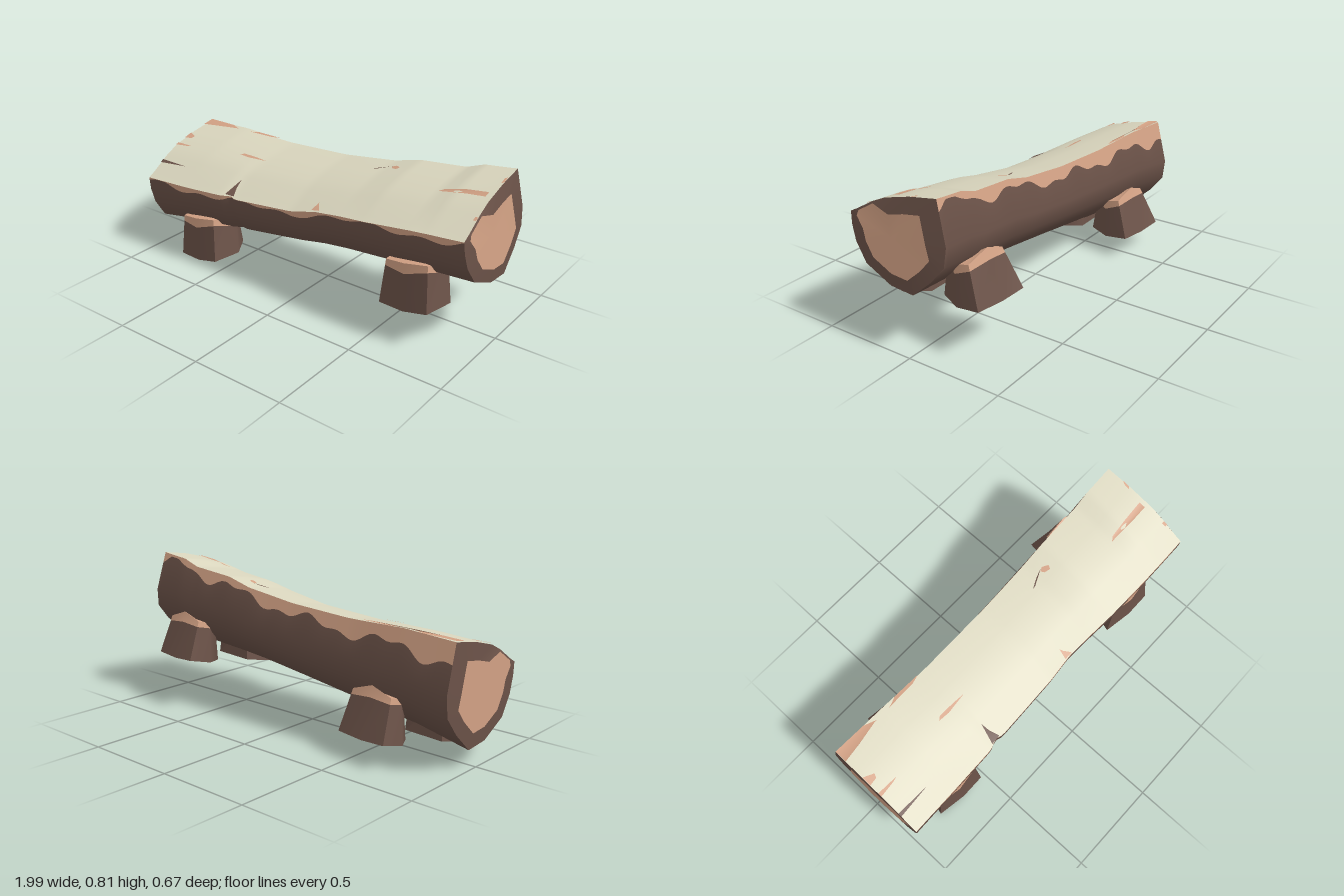
import * as THREE from 'three';
import { toCreasedNormals } from 'three/addons/utils/BufferGeometryUtils.js';

const material = (name, color) => Object.assign(new THREE.MeshStandardMaterial({ color }), { name });
const bark = material('bark', 0x6b5248);
const rawWood = material('raw wood', 0xd2a184);
const paleWood = material('pale wood', 0xdad6be);

const lerp = THREE.MathUtils.lerp;
const mix = (a, b, t) => a.map((v, i) => lerp(v, b[i], t));

function mesh(name, points, index, mat, crease = 0.9) {
  const geo = new THREE.BufferGeometry();
  geo.setAttribute('position', new THREE.Float32BufferAttribute(points.flat(), 3));
  geo.setIndex(index);
  const m = new THREE.Mesh(toCreasedNormals(geo, crease), mat);
  m.name = name;
  return m;
}

// Skin over rows of points
function skin(name, rows, mat, crease) {
  const n = rows[0].length, index = [];
  for (let i = 0; i < rows.length - 1; i++) {
    for (let j = 0; j < n - 1; j++) {
      const a = i * n + j, b = a + 1, c = a + n, d = c + 1;
      index.push(a, b, c, b, d, c);
    }
  }
  return mesh(name, rows.flat(), index, mat, crease);
}

// Filled polygon around its centre
function fan(name, loop, mat) {
  const n = loop.length;
  const centre = [0, 1, 2].map(k => loop.reduce((s, p) => s + p[k], 0) / n);
  const index = loop.flatMap((_, i) => [n, i, (i + 1) % n]);
  return mesh(name, [...loop, centre], index, mat);
}

// Log stations: x, bottom y, front edge y, back edge y, back z, front z
const stations = [
  [-0.985, 0.09, 0.43, 0.62, -0.24, 0.33],
  [-0.7, 0.15, 0.445, 0.635, -0.225, 0.328],
  [-0.45, 0.18, 0.465, 0.63, -0.212, 0.325],
  [-0.4, 0.19, 0.47, 0.63, -0.21, 0.305],
  [-0.36, 0.195, 0.465, 0.63, -0.21, 0.318],
  [0, 0.245, 0.50, 0.65, -0.207, 0.31],
  [0.15, 0.265, 0.535, 0.67, -0.207, 0.3],
  [0.3, 0.285, 0.56, 0.69, -0.21, 0.31],
  [0.45, 0.30, 0.58, 0.73, -0.21, 0.322],
  [0.7, 0.32, 0.615, 0.755, -0.215, 0.33],
  [0.8, 0.325, 0.625, 0.79, -0.218, 0.33],
  [0.995, 0.335, 0.64, 0.81, -0.222, 0.328],
];
function stationAt(x) {
  let i = 0;
  while (i < stations.length - 2 && x > stations[i + 1][0]) i++;
  const [a, b] = [stations[i], stations[i + 1]];
  return mix(a, b, (x - a[0]) / (b[0] - a[0]));
}

// The upper right end leans inwards
const lean = (x, v) => x - 0.04 * v * Math.max(0, x) ** 8;

// Bark outline from front edge, under the log, to back edge
function barkSection(x) {
  const [, bottom, front, back, zb, zf] = stationAt(x);
  const f = (z, k) => [lean(x, k * 0.6), lerp(bottom, front, k), z * zf / 0.33];
  const b = (z, k) => [lean(x, k), lerp(bottom, back, k), z * zb / -0.22];
  return [f(0.33, 1), f(0.325, 0.8), f(0.302, 0.55), f(0.24, 0.25), f(0.09, 0.03), b(-0.04, 0),
    b(-0.14, 0.19), b(-0.21, 0.37), b(-0.22, 0.57), b(-0.165, 1)];
}

// Crowned seat: depth from front to back against rise
const crown = [[0, 0], [0.08, 0.12], [0.27, 0.45], [0.42, 0.65], [0.7, 0.86], [1, 1]];
function seatPoint(x, t, lift = 0) {
  const s = barkSection(x), F = s[0], B = s[s.length - 1];
  let i = 0;
  while (i < crown.length - 2 && t > crown[i + 1][0]) i++;
  const [a, b] = [crown[i], crown[i + 1]];
  const rise = lerp(a[1], b[1], (t - a[0]) / (b[0] - a[0]));
  return [lerp(F[0], B[0], t), lerp(F[1], B[1], rise) + lift, lerp(F[2], B[2], t)];
}
const seatSection = x => crown.map(c => seatPoint(x, c[0])).reverse();

// Ragged widths of the peeled edges
const frontPeel = x => 0.3 + 0.22 * Math.sin(x * 9 + 1) + 0.18 * Math.sin(x * 23);
const backPeel = x => Math.max(0.06, 0.3 - 0.14 * x + 0.11 * Math.sin(x * 13) + 0.07 * Math.sin(x * 31 + 2));

function makeLog() {
  const log = new THREE.Group();
  log.name = 'log';
  const xs = Array.from({ length: 81 }, (_, i) => lerp(-0.985, 0.995, i / 80));
  const barkRows = [], frontRows = [], backRows = [];
  for (const x of xs) {
    const s = barkSection(x), n = s.length;
    const f = mix(s[0], s[1], Math.max(0.04, frontPeel(x))), b = mix(s[n - 1], s[n - 2], backPeel(x));
    barkRows.push([f, ...s.slice(1, n - 1), b]);
    frontRows.push([s[0], f]);
    backRows.push([b, s[n - 1]]);
  }
  log.add(
    skin('barkSides', barkRows, bark, 1.1),
    skin('frontPeeledEdge', frontRows, rawWood),
    skin('backPeeledEdge', backRows, rawWood),
    skin('seat', xs.map(seatSection), paleWood));

  // Sawn ends with a bark rim
  for (const side of [-1, 1]) {
    const x = side < 0 ? -0.985 : 0.995;
    const outer = [...barkSection(x), ...seatSection(x).slice(1, -1)];
    const centre = [x, lerp(stationAt(x)[1], stationAt(x)[3], 0.5), 0.05];
    const inner = outer.map((p, i) => {
      const k = i > 11 ? 0.95 : i > 7 ? 0.62 : i === 0 ? 0.85 : 0.72;
      const q = mix(centre, p, k);
      q[0] += side * 0.004;
      return q;
    });
    const rows = outer.map((p, i) => side > 0 ? [inner[i], p] : [p, inner[i]]);
    rows.push(rows[0]);
    log.add(skin('endRim', rows, bark));
    log.add(fan('sawnEnd', side > 0 ? inner : inner.slice().reverse(), rawWood));
  }
  return log;
}

// Thin marks on the seat, as [x, depth] outlines
const marks = [
  ['streak', rawWood, [[-0.54, 0.53], [-0.48, 0.52], [-0.36, 0.54], [-0.43, 0.55], [-0.52, 0.56]]],
  ['streak', rawWood, [[0.7, 0.49], [0.85, 0.47], [0.96, 0.47], [0.96, 0.54], [0.82, 0.53], [0.72, 0.52]]],
  ['knot', rawWood, [[0.35, 0.78], [0.38, 0.76], [0.39, 0.8], [0.36, 0.84], [0.34, 0.82]]],
  ['crack', bark, [[0.25, 0.75], [0.27, 0.755], [0.35, 0.835], [0.31, 0.81]]],
  ['frontSplit', bark, [[-0.43, 0.01], [-0.375, 0.01], [-0.395, 0.1], [-0.402, 0.2]]],
  ['frontSplit', rawWood, [[0.125, 0.01], [0.17, 0.01], [0.145, 0.08], [0.135, 0.12]]],
  ['endSplit', bark, [[-0.984, 0.18], [-0.8, 0.2], [-0.984, 0.215]]],
  ['endSplit', rawWood, [[-0.984, 0.42], [-0.9, 0.435], [-0.87, 0.45], [-0.984, 0.46]]],
  ['endSplit', rawWood, [[-0.984, 0.56], [-0.94, 0.57], [-0.93, 0.61], [-0.984, 0.66]]],
  ['peeledCorner', rawWood, [[-0.984, 0.87], [-0.88, 0.9], [-0.76, 0.96], [-0.5, 0.97], [-0.45, 1], [-0.984, 1]]],
  ['peeledEnd', rawWood, [[0.975, 0.2], [0.994, 0.2], [0.994, 0.8], [0.98, 0.78]]],
];

// Stubby legs: loops run anticlockwise from above
const frontLeg = {
  bottom: [[-0.81, 0, 0.285], [-0.66, 0.015, 0.312], [-0.53, 0.045, 0.315], [-0.49, 0.055, 0.17],
    [-0.56, 0.06, 0.055], [-0.76, 0.04, 0.08]],
  top: [[-0.78, 0.24, 0.28], [-0.67, 0.26, 0.3], [-0.55, 0.28, 0.29], [-0.53, 0.25, 0.17],
    [-0.57, 0.3, 0.09], [-0.74, 0.3, 0.09]],
};
const backLeg = {
  bottom: [[-0.73, 0.09, -0.2], [-0.66, 0.07, -0.08], [-0.5, 0.1, -0.05], [-0.44, 0.1, -0.17],
    [-0.43, 0.12, -0.3], [-0.58, 0.115, -0.32], [-0.72, 0.125, -0.335]],
  top: [[-0.69, 0.3, -0.16], [-0.64, 0.3, -0.08], [-0.5, 0.3, -0.08], [-0.46, 0.3, -0.15],
    [-0.46, 0.32, -0.23], [-0.58, 0.36, -0.24], [-0.69, 0.32, -0.24]],
};
function makeLeg(name, { top, bottom }, dx, dy) {
  const leg = new THREE.Group();
  leg.name = name;
  const band = top.map((p, i) => mix(p, bottom[i], 0.14 + 0.08 * (i % 2)));
  const close = rows => [...rows, rows[0]];
  leg.add(
    skin('legSides', close(band.map((p, i) => [p, bottom[i]])), bark, 1.1),
    skin('legPeel', close(top.map((p, i) => [p, band[i]])), rawWood, 1.1),
    fan('legTop', top, rawWood),
    fan('legFoot', bottom.slice().reverse(), bark));
  leg.position.set(dx, dy, 0);
  return leg;
}

export function createModel() {
  const bench = new THREE.Group();
  bench.name = 'logBench';
  bench.add(makeLog());
  for (const [name, mat, outline] of marks) {
    bench.add(fan(name, outline.map(([x, t]) => seatPoint(x, t, 0.006)), mat));
  }
  bench.add(
    makeLeg('frontRightLeg', frontLeg, 0, 0),
    makeLeg('frontLeftLeg', frontLeg, 1.33, 0.165),
    makeLeg('backRightLeg', backLeg, 0, 0),
    makeLeg('backLeftLeg', backLeg, 1.3, 0.155));
  return bench;
}
